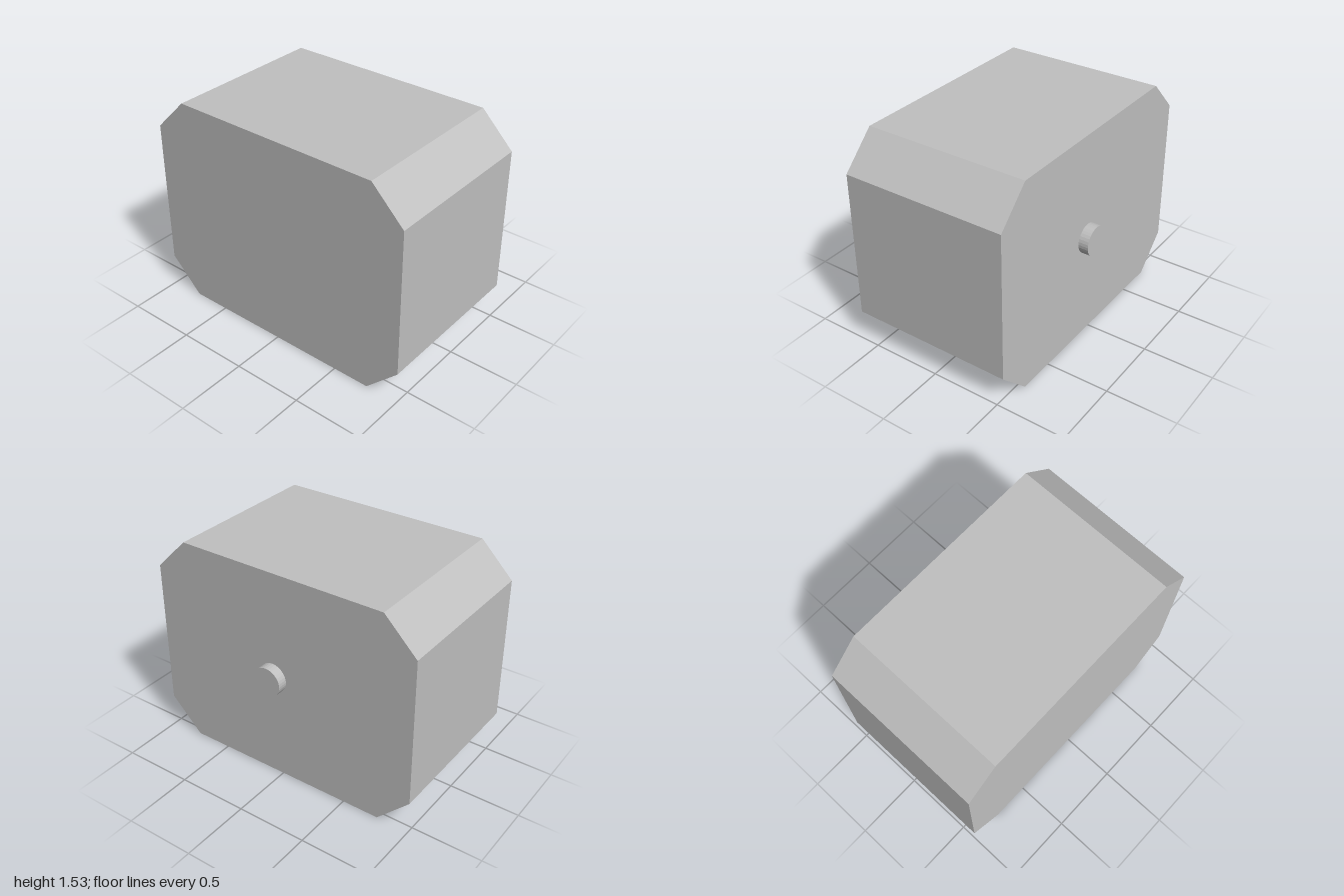
import * as THREE from 'three';

export function createModel() {
  const group = new THREE.Group();
  const grey = new THREE.MeshStandardMaterial({ color: 0xc0c0c0 });
  grey.name = 'lightGrey';

  // Housing: chamfered rectangle in the z-y plane, extruded across x
  const halfDepth = 1, height = 1.53, chamfer = 0.235;
  const left = -0.62, right = 0.55;
  const inner = halfDepth - chamfer;
  const outline = new THREE.Shape([
    [-inner, 0], [inner, 0], [halfDepth, chamfer], [halfDepth, height - chamfer],
    [inner, height], [-inner, height], [-halfDepth, height - chamfer], [-halfDepth, chamfer],
  ].map(([z, y]) => new THREE.Vector2(-z, y)));
  const housingGeometry = new THREE.ExtrudeGeometry(outline, { depth: right - left, bevelEnabled: false });
  housingGeometry.rotateY(Math.PI / 2).translate(left, 0, 0);
  const housing = new THREE.Mesh(housingGeometry, grey);
  housing.name = 'housing';
  group.add(housing);

  // Shaft: short faceted stub on the +x face
  const shaftLength = 0.07;
  const shaftGeometry = new THREE.CylinderGeometry(0.105, 0.105, shaftLength, 32).toNonIndexed();
  shaftGeometry.computeVertexNormals();
  shaftGeometry.rotateZ(-Math.PI / 2);
  const shaft = new THREE.Mesh(shaftGeometry, grey);
  shaft.name = 'shaft';
  shaft.position.set(right + shaftLength / 2, height / 2, 0.06);
  group.add(shaft);

  return group;
}
